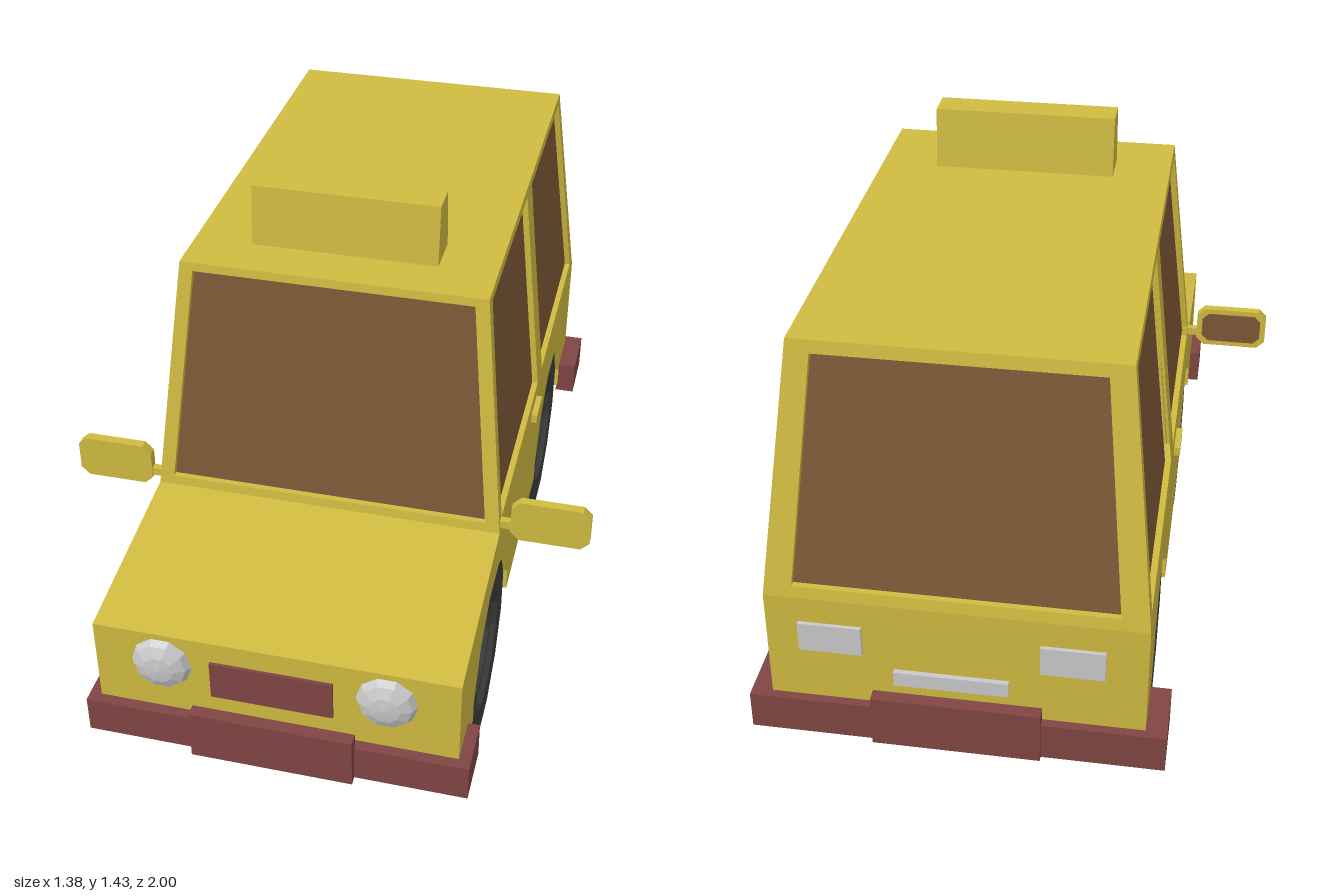
import * as THREE from 'three';

const mat = (name, color) => {
  const m = new THREE.MeshStandardMaterial({ color });
  m.name = name;
  return m;
};

export function createModel() {
  const car = new THREE.Group();
  car.name = 'boxyCab';
  const yellow = mat('yellowPaint', 0xd0ba40);
  const brown = mat('brownGlass', 0x7d5736);
  const red = mat('darkRedTrim', 0x804542);
  const black = mat('blackRubber', 0x3c3c3c);
  const silver = mat('silverLamp', 0xc9c9cb);

  const add = (name, geo, material) => {
    const mesh = new THREE.Mesh(geo, material);
    mesh.name = name;
    car.add(mesh);
    return mesh;
  };
  const flat = (geo) => {
    const g = geo.index ? geo.toNonIndexed() : geo;
    g.computeVertexNormals();
    return g;
  };
  // box given by its limits on each axis
  const box = (name, material, [x0, x1], [y0, y1], [z0, z1]) =>
    add(name, new THREE.BoxGeometry(x1 - x0, y1 - y0, z1 - z0)
      .translate((x0 + x1) / 2, (y0 + y1) / 2, (z0 + z1) / 2), material);
  const shapeOf = (pts) => new THREE.Shape(pts.map(([a, b]) => new THREE.Vector2(a, b)));
  const extrude = (shape, depth) => new THREE.ExtrudeGeometry(shape, { depth, bevelEnabled: false });
  // side profile in (z, y), extruded across the width
  const across = (pts, halfWidth) => extrude(shapeOf(pts.map(([z, y]) => [-z, y])), halfWidth * 2)
    .translate(0, 0, -halfWidth).rotateY(Math.PI / 2);

  // lower body with two wheel arches
  const wheelZ = [0.49, -0.54], wheelY = 0.25, floor = 0.255;
  const profile = [[0.95, 0.57], [0.45, 0.63], [-0.965, 0.63], [-0.965, floor]];
  for (const cz of [...wheelZ].reverse()) {
    profile.push([cz - 0.257, floor]);
    for (let deg = 165; deg >= 15; deg -= 30) {
      const t = THREE.MathUtils.degToRad(deg);
      profile.push([cz + 0.266 * Math.cos(t), wheelY + 0.266 * Math.sin(t)]);
    }
    profile.push([cz + 0.257, floor]);
  }
  profile.push([0.95, floor]);
  add('body', across(profile, 0.46), yellow);

  // cabin: leaning frames with recessed glass
  const belt = 0.63, top = 1.272;
  const lean = (low, high) => (y) => low + (high - low) * (y - belt) / (top - belt);
  const frameDepth = 0.026;
  const leaning = (geo, base, inset, angle) => {
    const p = geo.attributes.position;
    for (let i = 0; i < p.count; i++) p.setZ(i, p.getZ(i) + base(p.getY(i)) - inset);
    return flat(geo.rotateY(angle));
  };
  const wall = (name, outline, windows, base, angle) => {
    const shape = shapeOf(outline);
    for (const w of windows) shape.holes.push(shapeOf(w));
    add(name + 'Frame', leaning(extrude(shape, frameDepth), base, frameDepth, angle), yellow);
    for (const w of windows) {
      add(name + 'Window', leaning(extrude(shapeOf(w), 0.006), base, 0.022, angle), brown);
    }
  };
  const trapezoid = (low, high, y0, y1) => [[-low, y0], [low, y0], [high, y1], [-high, y1]];
  const ends = trapezoid(0.46, 0.39, belt, top);
  wall('front', ends, [trapezoid(0.42, 0.357, 0.655, 1.25)], lean(0.45, 0.365), 0);
  wall('rear', ends, [trapezoid(0.39, 0.335, 0.66, 1.24)], lean(0.965, 0.85), Math.PI);
  const sideOutline = [[0.45, belt], [-0.965, belt], [-0.85, top], [0.365, top]];
  const sideWindows = [
    [[0.41, 0.655], [-0.215, 0.655], [-0.215, 1.25], [0.33, 1.25]],
    [[-0.295, 0.655], [-0.915, 0.655], [-0.82, 1.25], [-0.295, 1.25]],
  ];
  for (const s of [1, -1]) {
    const turn = (pts) => pts.map(([z, y]) => [-s * z, y]);
    wall(s > 0 ? 'left' : 'right', turn(sideOutline), sideWindows.map(turn),
      lean(0.46, 0.39), s * Math.PI / 2);
  }
  box('roof', yellow, [-0.39, 0.39], [1.25, top], [-0.85, 0.365]);

  // roof sign
  add('roofSign', across([[0.24, 1.27], [0.225, 1.43], [0.14, 1.43], [0.122, 1.27]], 0.24), yellow);

  // bumpers: bar, wrapped ends and centre plate
  for (const [name, s, half] of [['front', 1, 0.49], ['rear', -1, 0.512]]) {
    const span = (a, b) => (s > 0 ? [a, b] : [-b, -a]);
    box(name + 'BumperBar', red, [-half, half], [0.228, 0.33], span(0.945, s > 0 ? 0.978 : 0.988));
    for (const e of [1, -1]) {
      const x = e > 0 ? [0.455, half] : [-half, -0.455];
      box(name + 'BumperEnd', red, x, [0.228, 0.33], span(s > 0 ? 0.83 : 0.812, 0.95));
    }
    box(name + 'BumperPlate', red, [-0.21, 0.205], [0.226, 0.367], span(0.967, 1));
  }

  // grille and lamps
  box('grille', red, [-0.163, 0.147], [0.40, 0.51], [0.945, 0.958]);
  for (const x of [-0.288, 0.28]) {
    const dome = new THREE.SphereGeometry(0.077, 10, 3, 0, Math.PI * 2, 0, Math.PI / 2)
      .rotateX(Math.PI / 2).scale(1, 1, 0.45);
    add('headlamp', flat(dome), silver).position.set(x, 0.48, 0.95);
  }
  box('tailLamp', silver, [0.225, 0.38], [0.48, 0.56], [-0.975, -0.96]);
  box('tailLamp', silver, [-0.36, -0.205], [0.48, 0.56], [-0.975, -0.96]);
  box('rearPlate', silver, [-0.13, 0.15], [0.40, 0.44], [-0.978, -0.96]);

  // door mirrors and handles
  const mirrorShape = (cx, w, h, c) => shapeOf([
    [cx - w + c, 0.67 - h], [cx + w - c, 0.67 - h], [cx + w, 0.67 - h + c], [cx + w, 0.67 + h - c],
    [cx + w - c, 0.67 + h], [cx - w + c, 0.67 + h], [cx - w, 0.67 + h - c], [cx - w, 0.67 - h + c]]);
  for (const s of [1, -1]) {
    const span = (a, b) => (s > 0 ? [a, b] : [-b, -a]);
    add('doorMirror', extrude(mirrorShape(s * 0.587, 0.102, 0.06, 0.022), 0.025), yellow).position.z = 0.414;
    add('mirrorGlass', extrude(mirrorShape(s * 0.587, 0.086, 0.045, 0.018), 0.004), brown).position.z = 0.412;
    box('mirrorArm', yellow, span(0.44, 0.5), [0.638, 0.66], [0.416, 0.436]);
    box('doorHandle', yellow, span(0.455, 0.476), [0.602, 0.627], [-0.19, -0.09]);
  }

  // wheels and axles
  const face = [[0.258, 0.1], [0.165, 0.1], [0.155, 0.085], [0.135, 0.085], [0.12, 0.06],
    [0.085, 0.06], [0.08, 0.075], [0, 0.075]];
  const wheelPts = [...face.map(([r, y]) => [r, -y]).reverse(), ...face]
    .map(([r, y]) => new THREE.Vector2(r, y));
  const wheelGeo = flat(new THREE.LatheGeometry(wheelPts, 12, Math.PI / 12).rotateZ(-Math.PI / 2));
  for (const z of wheelZ) {
    for (const x of [0.35, -0.35]) add('wheel', wheelGeo, black).position.set(x, wheelY, z);
    add('axle', flat(new THREE.CylinderGeometry(0.083, 0.083, 0.56, 12, 1).rotateZ(Math.PI / 2)), black)
      .position.set(0, wheelY, z);
  }
  return car;
}
